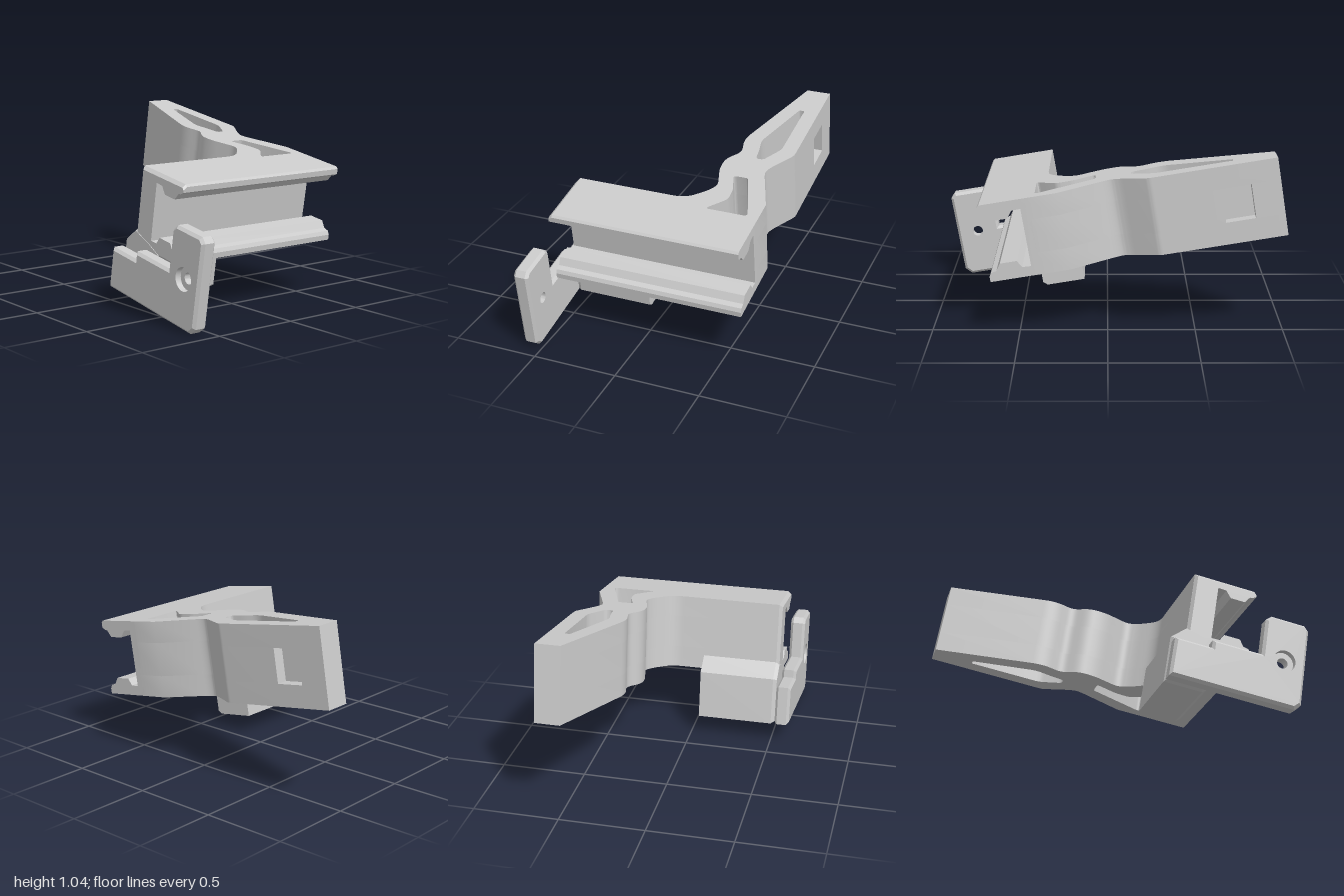
import * as THREE from 'three';
import { toCreasedNormals } from 'three/addons/utils/BufferGeometryUtils.js';

const TILT = 0.164, LOW = 0.434, HIGH = 0.88, BACK = -0.61;
const material = new THREE.MeshStandardMaterial({ color: 0xcccccc });
const openMaterial = new THREE.MeshStandardMaterial({ color: 0xcccccc, side: THREE.DoubleSide });
const vectors = (pts) => pts.map(([x, y]) => new THREE.Vector2(x, y));

function add(group, name, geometry, mat = material) {
  const mesh = new THREE.Mesh(geometry, mat);
  mesh.name = name;
  group.add(mesh);
  return mesh;
}

// Moves every edge of a counter-clockwise outline inwards by d.
function inset(pts, d) {
  const n = pts.length;
  const normal = (a, b) => {
    const l = Math.hypot(b[0] - a[0], b[1] - a[1]);
    return [-(b[1] - a[1]) / l, (b[0] - a[0]) / l];
  };
  return pts.map((p, i) => {
    const m = normal(pts[(i + n - 1) % n], p), k = normal(p, pts[(i + 1) % n]);
    const s = d / (1 + m[0] * k[0] + m[1] * k[1]);
    return [p[0] + (m[0] + k[0]) * s, p[1] + (m[1] + k[1]) * s];
  });
}

// Flat-sided solid through cross-sections [points, z], with optional holes in its end faces.
function solid(rings, backHole = [], frontHole = []) {
  const pos = [];
  for (let k = 0; k < rings.length - 1; k++) {
    const [A, za] = rings[k], [B, zb] = rings[k + 1];
    A.forEach((a, i) => {
      const j = (i + 1) % A.length;
      pos.push(...a, za, ...A[j], za, ...B[j], zb, ...a, za, ...B[j], zb, ...B[i], zb);
    });
  }
  const cap = ([pts, z], hole, front) => {
    const all = [...pts, ...hole];
    const faces = THREE.ShapeUtils.triangulateShape(vectors(pts), hole.length ? [vectors(hole)] : []);
    for (const [a, b, c] of faces) {
      for (const i of front ? [a, b, c] : [a, c, b]) pos.push(...all[i], z);
    }
  };
  cap(rings[0], backHole, false);
  cap(rings[rings.length - 1], frontHole, true);
  const g = new THREE.BufferGeometry();
  g.setAttribute('position', new THREE.Float32BufferAttribute(pos, 3));
  g.computeVertexNormals();
  return g;
}

// Plan outline from [x, z, corner radius], with rounded corners.
function plan(pts, Type) {
  const path = new Type();
  const P = pts.map(([x, z]) => new THREE.Vector2((x - 0.144) / 0.9866, -z));
  P.forEach((p, i) => {
    const r = pts[i][2] || 0;
    const before = P[(i + P.length - 1) % P.length], after = P[(i + 1) % P.length];
    const toward = (q) => p.clone().lerp(q, Math.min(0.45, r / p.distanceTo(q)));
    const a = toward(before), b = toward(after);
    if (i === 0) path.moveTo(a.x, a.y);
    else path.lineTo(a.x, a.y);
    if (r) path.quadraticCurveTo(p.x, p.y, b.x, b.y);
  });
  path.closePath();
  return path;
}

const circle = (u, v, r, n = 32) => Array.from({ length: n }, (_, i) => {
  const a = (i / n) * Math.PI * 2;
  return [u + r * Math.cos(a), v + r * Math.sin(a)];
});

function makeArm(group) {
  const front = [
    [-0.925, -0.465], [-0.3, -0.272, 0.06], [-0.17, -0.305, 0.04], [-0.08, -0.237, 0.05],
    [0.02, -0.237, 0.05], [0.18, -0.288, 0.04], [0.24, -0.255, 0.03], [0.345, -0.155, 0.07],
    [0.345, 0.5], [0.48, 0.5], [0.48, BACK],
  ];
  const back = [[0.28, BACK], [-0.01, -0.5, 0.05], [-0.06, -0.515, 0.03], [-0.22, BACK, 0.02]];
  const pocket = [[-0.6, BACK], [-0.6, -0.545], [-0.765, -0.545], [-0.765, BACK]];
  const holes = [
    [[-0.69, -0.52, 0.01], [-0.26, -0.52, 0.03], [-0.13, -0.45, 0.02], [-0.13, -0.405, 0.025],
      [-0.22, -0.395, 0.03], [-0.31, -0.375, 0.04], [-0.69, -0.488, 0.01]],
    [[0.07, -0.43, 0.015], [0.405, -0.548, 0.03], [0.405, -0.295, 0.025], [0.29, -0.39, 0.025],
      [0.2, -0.385, 0.02], [0.07, -0.342, 0.02]],
  ];
  // Three layers, the middle one with a pocket in the back
  const layers = [['armLower', LOW, 0.56, []], ['armMiddle', 0.56, 0.755, pocket], ['armUpper', 0.755, HIGH, []]];
  for (const [name, low, high, notch] of layers) {
    const shape = plan([...front, ...back, ...notch, [-0.925, BACK]], THREE.Shape);
    shape.holes = holes.map((h) => plan(h, THREE.Path));
    const g = new THREE.ExtrudeGeometry(shape, { depth: high - low, bevelEnabled: false, curveSegments: 6 });
    g.rotateX(-Math.PI / 2);
    g.translate(0, low, 0);
    add(group, name, toCreasedNormals(g, 0.45));
  }
}

function makeRail(group) {
  const channel = [
    [0.59, LOW], [0.59, 0.465], [0.578, 0.486], [0.546, 0.493], [0.52, 0.532], [0.424, 0.532],
    [0.4, 0.492], [0.35, 0.49], [0.35, 0.824], [0.4, 0.822], [0.433, 0.781], [0.52, 0.781],
    [0.548, 0.821], [0.565, 0.823], [0.587, 0.837], [0.587, 0.868], [0.575, HIGH],
  ];
  const rail = [[0.3, LOW], ...channel, [0.3, HIGH]];
  add(group, 'rail', solid([[rail, BACK], [rail, 0.5]]));
  // Front end, chamfered along the top and the outer wall
  const end = [[0.204, LOW], ...channel, [0.204, HIGH]];
  const cut = end.map(([u, v]) => [u < 0.21 ? u + 0.016 : u, v > 0.86 ? v - 0.018 : v]);
  add(group, 'railFrontEnd', solid([[end, 0.5], [cut, 0.52]]));
}

function makeBlock(group) {
  const block = [
    [0.117, 0.15], [0.345, 0.15], [0.37, 0.17], [0.37, 0.335], [0.45, 0.436],
    [0.34, 0.48], [0.204, 0.518], [0.117, 0.434],
  ];
  add(group, 'lowerBlock', solid([[block, 0.05], [block, 0.5], [inset(block, 0.014), 0.522]]));
}

function makePlate(group) {
  const outline = [
    [0.117, 0.15], [0.862, 0.15], [0.9, 0.188], [0.9, 0.663], [0.872, 0.693], [0.666, 0.693],
    [0.634, 0.662], [0.634, 0.436], [0.338, 0.436], [0.338, 0.388], [0.119, 0.388],
  ];
  const small = inset(outline, 0.016), u = 0.771, v = 0.427, step = 0.575;
  add(group, 'frontPlate', solid(
    [[small, 0.52], [outline, 0.536], [outline, 0.594], [small, 0.61]],
    circle(u, v, 0.032), circle(u, v, 0.066),
  ));
  // Stepped screw hole
  const bore = new THREE.LatheGeometry(
    vectors([[0.032, 0.52], [0.032, step], [0.066, step], [0.066, 0.61]]), 32);
  bore.rotateX(Math.PI / 2);
  bore.translate(u, v, 0);
  add(group, 'screwHole', toCreasedNormals(bore, 0.5), openMaterial);
}

export function createModel() {
  const model = new THREE.Group();
  model.name = 'railBracket';
  const tilted = new THREE.Group();
  tilted.name = 'tiltedBracket';
  tilted.rotation.z = -TILT;
  makeArm(tilted);
  makeRail(tilted);
  makeBlock(tilted);
  makePlate(tilted);
  model.add(tilted);
  return model;
}
